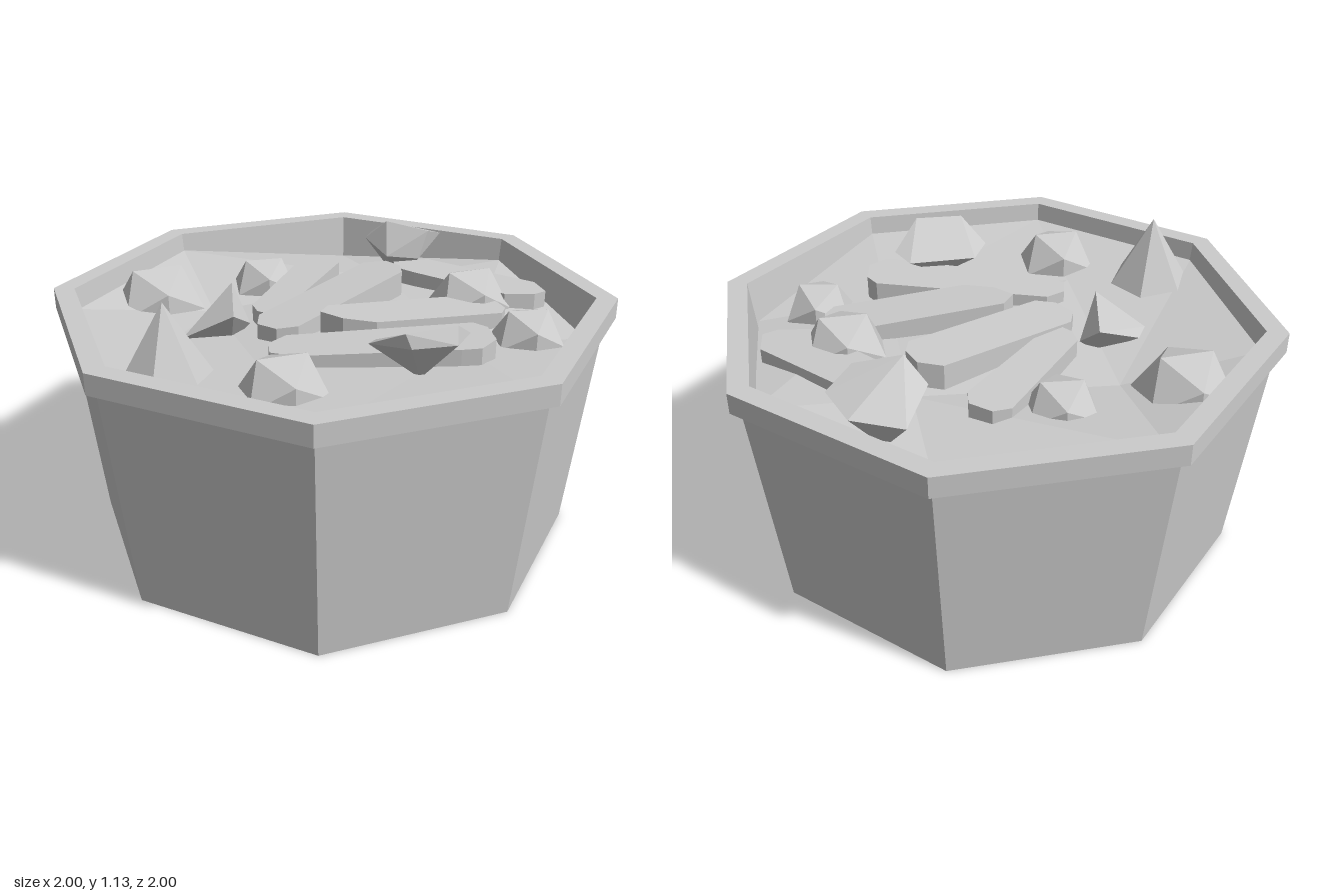
import * as THREE from 'three';
import { ConvexGeometry } from 'three/addons/geometries/ConvexGeometry.js';

const material = new THREE.MeshStandardMaterial({ color: 0xcccccc, flatShading: true });

export function createModel() {
  const model = new THREE.Group();

  function add(name, geometry, x = 0, y = 0, z = 0) {
    const mesh = new THREE.Mesh(geometry, material);
    mesh.name = name;
    mesh.position.set(x, y, z);
    model.add(mesh);
    return mesh;
  }

  // Tapered octagonal tub with an overhanging rim; profile radii are to the flat sides
  const profile = [[0, 0], [0.875, 0], [0.965, 0.885], [1, 0.885], [1, 0.965], [0.925, 0.965], [0.9, 0.72]];
  const toCorner = 1 / Math.cos(Math.PI / 8);
  add('tub', new THREE.LatheGeometry(
    profile.map(([r, y]) => new THREE.Vector2(r * toCorner, y)), 8, Math.PI / 8));

  // Uneven faceted filling: eight corners around four middle points
  const fill = new THREE.BufferGeometry();
  fill.setAttribute('position', new THREE.Float32BufferAttribute([
    -0.38, 0.89, -0.92, 0.37, 0.79, -0.89, 0.92, 0.87, -0.38, 0.9, 0.8, 0.37,
    0.38, 0.89, 0.92, -0.38, 0.89, 0.92, -0.92, 0.89, 0.38, -0.92, 0.88, -0.38,
    -0.38, 0.8, -0.38, 0.38, 0.85, -0.38, 0.38, 0.84, 0.38, -0.38, 0.85, 0.38], 3));
  fill.setIndex([
    0, 8, 9, 0, 9, 1, 1, 9, 2, 2, 9, 10, 2, 10, 3, 3, 10, 4, 10, 11, 5,
    10, 5, 4, 11, 6, 5, 8, 6, 11, 7, 6, 8, 0, 7, 8, 8, 11, 9, 9, 11, 10]);
  fill.computeVertexNormals();
  add('filling', fill);

  // Flat tapered sticks: outline in x and z, top height at x = 0, rise along x
  function stick(outline, top, rise, thickness = 0.1) {
    const shape = new THREE.Shape(outline.map(([x, z]) => new THREE.Vector2(x, -z)));
    const geometry = new THREE.ExtrudeGeometry(shape, { depth: thickness, bevelEnabled: false });
    geometry.rotateX(-Math.PI / 2);
    const p = geometry.attributes.position;
    for (let i = 0; i < p.count; i++) p.setY(i, p.getY(i) + top - thickness + rise * p.getX(i));
    geometry.computeVertexNormals();
    add('stick', geometry);
  }
  stick([[0.07, -0.6], [0.14, -0.61], [0.21, -0.55], [0.2, -0.48], [-0.17, -0.08], [-0.24, -0.07], [-0.27, -0.11], [-0.27, -0.18]], 0.9, 0.05);
  stick([[0.26, -0.35], [0.35, -0.32], [0.38, -0.24], [0.36, -0.17], [-0.18, 0.13], [-0.26, 0.11], [-0.31, 0.03], [-0.28, -0.05]], 0.92, 0.09);
  stick([[-0.04, 0.06], [0.58, 0.04], [0.64, 0.13], [0.64, 0.2], [0.6, 0.25], [0.08, 0.26], [-0.03, 0.2], [-0.09, 0.12]], 0.94, -0.07);
  stick([[-0.24, 0.17], [0.42, 0.36], [0.45, 0.42], [0.43, 0.53], [0.35, 0.58], [0.28, 0.56], [-0.26, 0.36], [-0.34, 0.29], [-0.32, 0.21]], 0.905, 0.05);
  stick([[0.42, -0.4], [0.58, -0.4], [0.89, -0.02], [0.88, 0.09], [0.82, 0.11], [0.7, 0.08], [0.45, -0.25], [0.4, -0.33]], 0.93, -0.04);

  // Twenty-sided nuggets: x, y, z, radius, turn
  const nuggets = [
    [-0.37, 0.845, 0.55, 0.168, 0],
    [0.58, 0.845, 0, 0.168, 0],
    [-0.58, 0.81, -0.49, 0.19, 0.05],
    [0.65, 0.82, 0.36, 0.145, -0.2],
    [-0.12, 0.82, -0.53, 0.145, -0.1],
  ];
  for (const [x, y, z, r, turn] of nuggets) {
    add('nugget', new THREE.IcosahedronGeometry(r, 0), x, y, z).rotation.y = turn;
  }

  // Six-sided spike
  add('spike', new THREE.ConeGeometry(0.18, 0.3, 6, 1, false, Math.PI / 6), -0.71, 0.98, 0.3);

  // Angular chunks
  function chunk(name, points) {
    add(name, new ConvexGeometry(points.map((p) => new THREE.Vector3(...p))));
  }
  chunk('frontChunk', [
    [-0.06, 0.98, 0.53], [0, 0.955, 0.45], [0.27, 0.955, 0.45], [0.32, 0.97, 0.54], [0.21, 1.06, 0.66],
    [0.02, 1.055, 0.66], [0.2, 1.0, 0.69], [0.04, 1.0, 0.67], [0.12, 0.84, 0.57]]);
  chunk('backChunk', [
    [0.34, 0.99, -0.53], [0.44, 0.95, -0.72], [0.62, 0.97, -0.66], [0.68, 0.985, -0.5],
    [0.58, 1.03, -0.41], [0.41, 1.075, -0.465], [0.4, 0.93, -0.43], [0.54, 0.91, -0.41], [0.5, 0.78, -0.56]]);
  chunk('shard', [
    [-0.33, 0.96, -0.26], [-0.41, 0.95, 0.07], [-0.58, 0.84, -0.05], [-0.53, 0.84, -0.13],
    [-0.3, 0.84, -0.11], [-0.38, 0.78, -0.1]]);

  return model;
}
